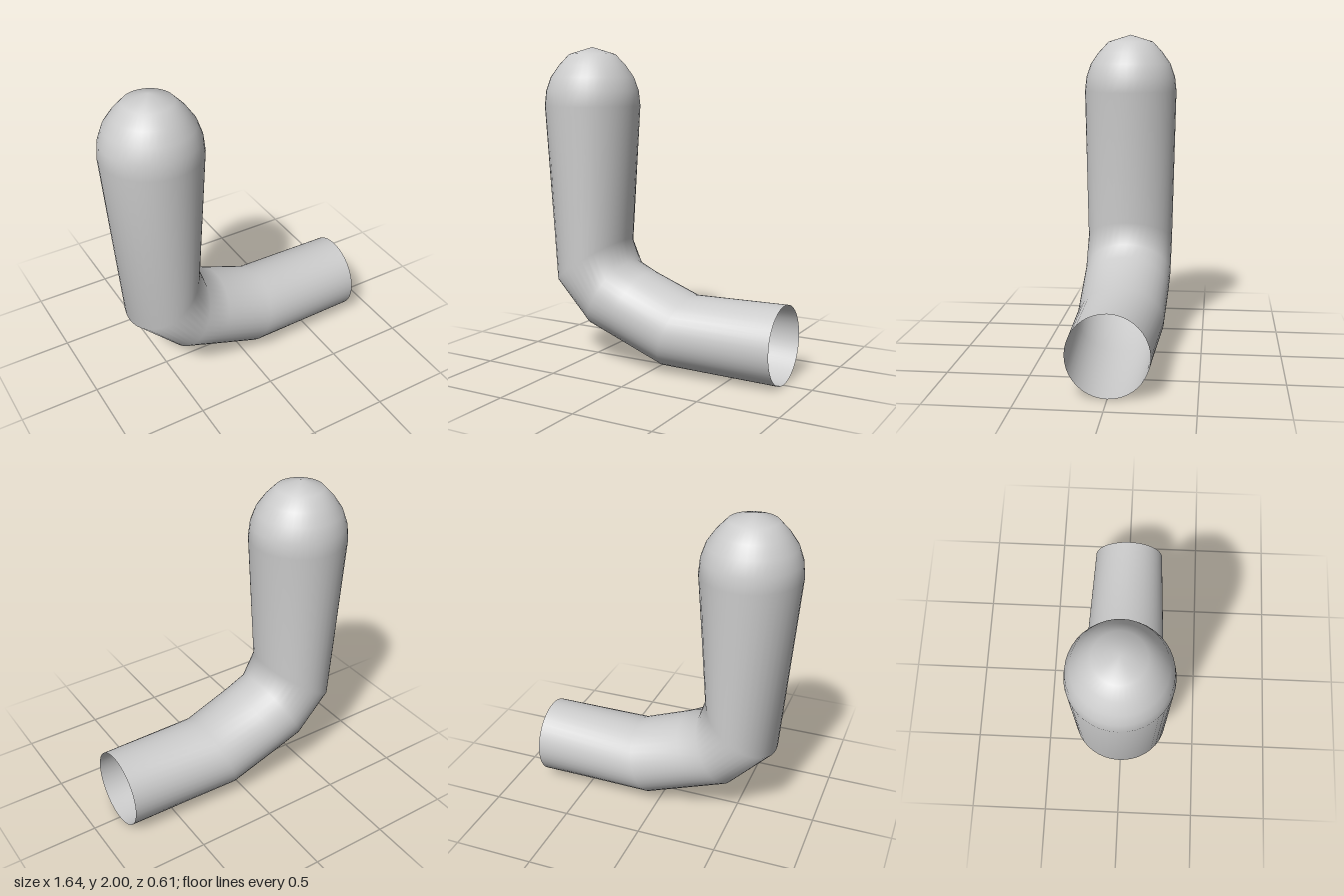
import * as THREE from 'three';

const SIDES = 40;

// Smooth tube through elliptical rings, closed by a single tip point.
// Each ring: outer point (x, y), inner point (x, y), half width in z.
function ringTube(rings, tip) {
  const positions = [], indices = [];
  for (const [ox, oy, ix, iy, halfZ] of rings) {
    for (let i = 0; i < SIDES; i++) {
      const t = (i / SIDES) * Math.PI * 2, c = Math.cos(t) / 2;
      positions.push((ox + ix) / 2 + (ix - ox) * c, (oy + iy) / 2 + (iy - oy) * c, halfZ * Math.sin(t));
    }
  }
  const last = (rings.length - 1) * SIDES, tipIndex = rings.length * SIDES;
  positions.push(...tip);
  for (let i = 0; i < SIDES; i++) {
    const j = (i + 1) % SIDES;
    for (let base = 0; base < last; base += SIDES) {
      const a = base + i, b = base + j;
      indices.push(a, a + SIDES, b, b, a + SIDES, b + SIDES);
    }
    indices.push(last + i, tipIndex, last + j);
  }
  const geometry = new THREE.BufferGeometry();
  geometry.setAttribute('position', new THREE.Float32BufferAttribute(positions, 3));
  geometry.setIndex(indices);
  geometry.computeVertexNormals();
  return geometry;
}

export function createModel() {
  const group = new THREE.Group();
  group.name = 'bentTube';

  // Open end, mitred bend, then the upright section
  const rings = [
    [0.82, 0.0, 0.82, 0.485, 0.24],
    [0.05, 0.015, 0.2, 0.47, 0.27],
    [-0.3, 0.15, -0.11, 0.585, 0.28],
    [-0.475, 0.215, -0.235, 0.645, 0.283],
    [-0.735, 0.48, -0.28, 0.78, 0.284],
  ];

  // Rounded top: radius and height of each ring
  const x = -0.52;
  const dome = [[0.305, 1.63], [0.295, 1.725], [0.265, 1.81], [0.213, 1.885], [0.147, 1.955]];
  for (const [r, y] of dome) rings.push([x - r, y, x + r, y, r]);

  const material = new THREE.MeshStandardMaterial({ color: 0xcccccc, side: THREE.DoubleSide });
  const tube = new THREE.Mesh(ringTube(rings, [x, 2, 0]), material);
  tube.name = 'tube';
  group.add(tube);
  return group;
}
